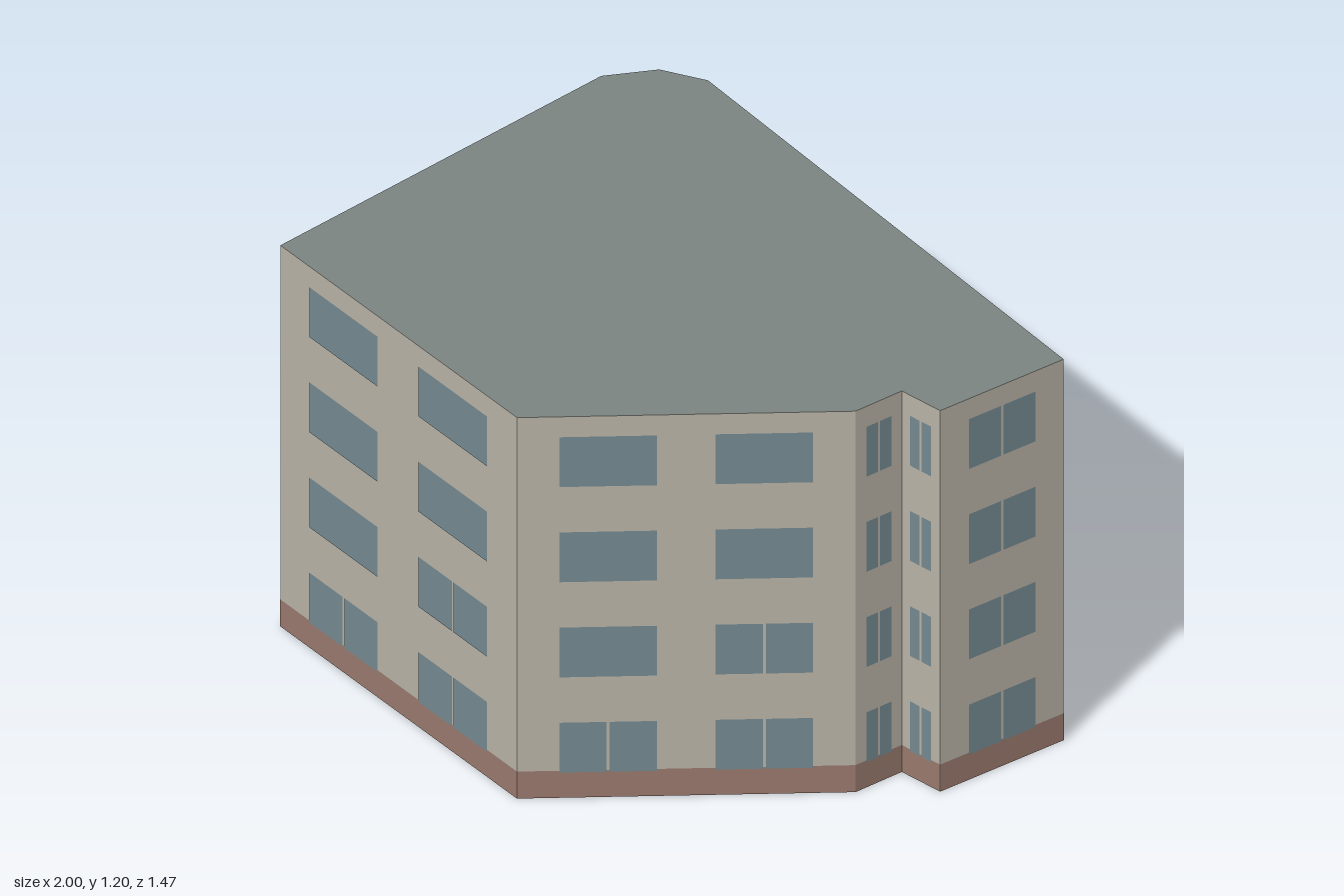
import * as THREE from 'three';

const HEIGHT = 1.2, PLINTH = 0.085, FLOORS = 4, STOREY = 0.3;
const SILL = 0.08, WINDOW_H = 0.157, GAP = 0.007;

// Footprint corners as [x, z], walked with the outside on the right-hand face
const footprint = [
  [-1, 0.27], [-0.2, 0.73], [0.585, 0.413], [0.665, 0.295], [0.783, 0.338],
  [1, 0.033], [-0.23, -0.735], [-0.36, -0.735], [-0.487, -0.66],
];

export function createModel() {
  const building = new THREE.Group();
  building.name = 'building';
  const wallMat = new THREE.MeshStandardMaterial({ color: 0xb8b2a6, side: THREE.DoubleSide });
  const plinthMat = new THREE.MeshStandardMaterial({ color: 0x98796c });
  const glassMat = new THREE.MeshStandardMaterial({ color: 0x748990 });
  const roofMat = new THREE.MeshStandardMaterial({ color: 0x7c8582, side: THREE.DoubleSide });

  // Flat panel on a wall, from its lower left corner
  const panel = (parent, name, mat, x, y, w, h, z) => {
    const mesh = new THREE.Mesh(new THREE.PlaneGeometry(w, h), mat);
    mesh.position.set(x + w / 2, y + h / 2, z);
    mesh.name = name;
    parent.add(mesh);
  };

  footprint.forEach(([x, z], i) => {
    const [nx, nz] = footprint[(i + 1) % footprint.length];
    const length = Math.hypot(nx - x, nz - z);
    const facade = new THREE.Group();
    facade.name = `facade${i + 1}`;
    facade.position.set(x, 0, z);
    facade.rotation.y = Math.atan2(z - nz, nx - x);
    building.add(facade);

    panel(facade, 'wall', wallMat, 0, 0, length, HEIGHT, 0);
    panel(facade, 'plinth', plinthMat, 0, 0, length, PLINTH, 0.001);

    // Long walls carry two windows per floor, short ones a single divided window
    const long = length > 0.5;
    const spans = long ? [[0.125, 0.413], [0.587, 0.875]] : [[0.23, 0.77]];
    for (let floor = 0; floor < FLOORS; floor++) {
      const y = SILL + floor * STOREY;
      spans.forEach(([a, b], n) => {
        const left = a * length, width = (b - a) * length;
        const divided = !long || floor === 0 || (floor === 1 && n === 1);
        if (divided) {
          const pane = (width - GAP) / 2;
          panel(facade, 'windowPane', glassMat, left, y, pane, WINDOW_H, 0.002);
          panel(facade, 'windowPane', glassMat, left + pane + GAP, y, pane, WINDOW_H, 0.002);
        } else {
          panel(facade, 'window', glassMat, left, y, width, WINDOW_H, 0.002);
        }
      });
    }
  });

  // Flat roof over the footprint; the underside of the building stays open
  const outline = new THREE.Shape(footprint.map(([x, z]) => new THREE.Vector2(x, -z)));
  const roof = new THREE.Mesh(new THREE.ShapeGeometry(outline).rotateX(-Math.PI / 2), roofMat);
  roof.position.y = HEIGHT;
  roof.name = 'roof';
  building.add(roof);
  return building;
}
